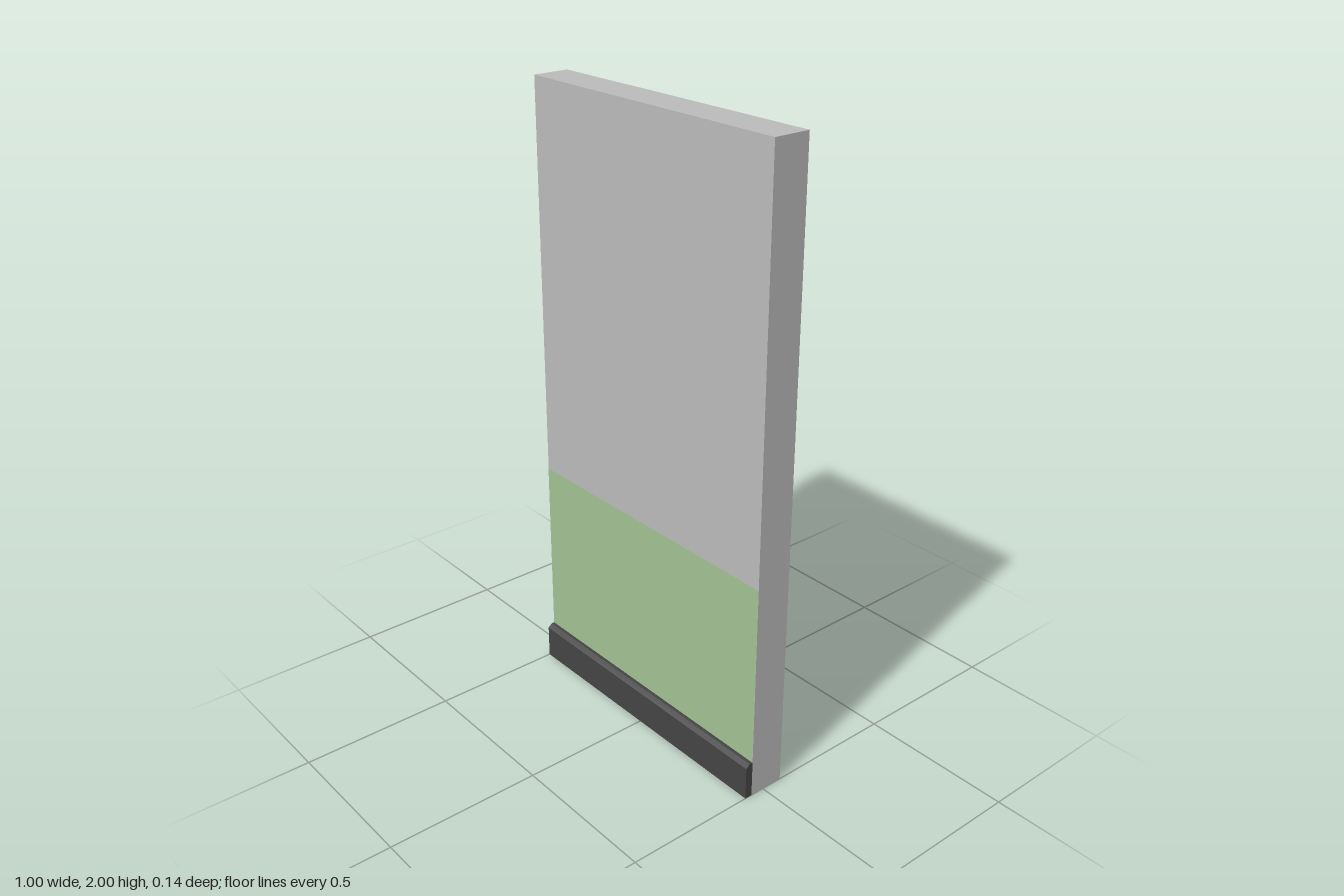
import * as THREE from 'three';

const WIDTH = 1, BACK = -0.072, WALL_FRONT = 0.047, FRONT = 0.072;

function material(name, color) {
  const m = new THREE.MeshStandardMaterial({ color });
  m.name = name;
  return m;
}

export function createModel() {
  const group = new THREE.Group();
  group.name = 'wallPanel';
  const grey = material('wall grey', 0xbbbbbb);
  const green = material('dado green', 0xa2c293);
  const dark = material('skirting charcoal', 0x454545);

  const add = (name, geometry, mat) => {
    const mesh = new THREE.Mesh(geometry, mat);
    mesh.name = name;
    group.add(mesh);
    return mesh;
  };

  // Wall slab with a dark underside
  const depth = WALL_FRONT - BACK;
  add('wall', new THREE.BoxGeometry(WIDTH, 2, depth), [grey, grey, grey, dark, grey, grey])
    .position.set(0, 1, (WALL_FRONT + BACK) / 2);

  // Painted lower band, a single face on the front
  add('lowerBand', new THREE.PlaneGeometry(WIDTH, 0.6), green)
    .position.set(0, 0.42, WALL_FRONT + 0.001);

  // Skirting board with a chamfered top edge, extruded along x
  const profile = new THREE.Shape([
    [WALL_FRONT, 0], [FRONT, 0], [FRONT, 0.11], [0.059, 0.122], [WALL_FRONT, 0.122],
  ].map(([z, y]) => new THREE.Vector2(-z, y)));
  const skirting = new THREE.ExtrudeGeometry(profile, { depth: WIDTH, bevelEnabled: false });
  skirting.translate(0, 0, -WIDTH / 2).rotateY(Math.PI / 2);
  add('skirtingBoard', skirting, dark);

  return group;
}
